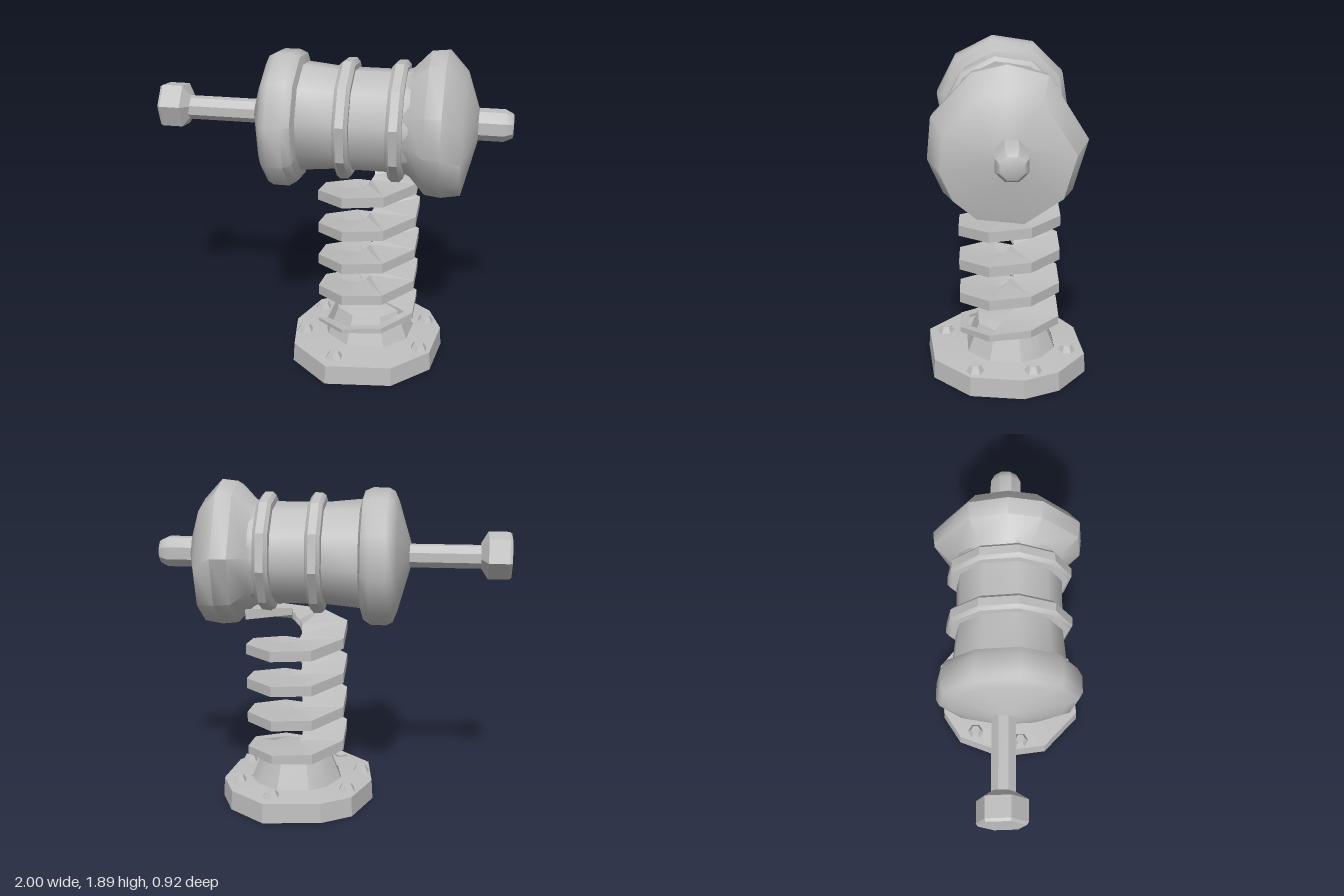
import * as THREE from 'three';
import { toCreasedNormals } from 'three/addons/utils/BufferGeometryUtils.js';

const DEG = Math.PI / 180;
const AXIS_Y = 1.48;
const BASE_X = 0.208;

// Skin a list of rings (each a closed loop of [x, y, z])
function loft(rings, crease = 0.6) {
  const n = rings[0].length;
  const index = [];
  for (let i = 0; i < rings.length - 1; i++) {
    for (let j = 0; j < n; j++) {
      const a = i * n + j, b = i * n + (j + 1) % n;
      index.push(a, a + n, b, b, a + n, b + n);
    }
  }
  const geo = new THREE.BufferGeometry();
  geo.setAttribute('position', new THREE.Float32BufferAttribute(rings.flat(2), 3));
  geo.setIndex(index);
  return toCreasedNormals(geo, crease);
}

// Faceted turning along x from [x, radius, optional drop] entries
function turned(profile, angles, y = AXIS_Y, z = 0, crease = 0.6) {
  return loft(profile.map(([x, r, drop = 0]) => angles.map((a) =>
    [x, y - drop + r * Math.sin(a * DEG), z + r * Math.cos(a * DEG)])), crease);
}

const sides = (n, start = 0) => Array.from({ length: n }, (_, i) => start + i * 360 / n);

export function createModel() {
  const group = new THREE.Group();
  const metal = new THREE.MeshStandardMaterial({ color: 0xbfbfbf, side: THREE.DoubleSide });
  metal.name = 'grey metal';
  const add = (name, geo) => {
    const mesh = new THREE.Mesh(geo, metal);
    mesh.name = name;
    group.add(mesh);
    return mesh;
  };

  // Barrel with rounded left flange
  add('barrel', turned([
    [-0.44, 0], [-0.44, 0.07], [-0.37, 0.31, 0.01], [-0.345, 0.37, 0.015], [-0.31, 0.39, 0.015],
    [-0.22, 0.39, 0.015], [-0.175, 0.365, 0.01], [-0.16, 0.31], [0.04, 0.29], [0.36, 0.29], [0.45, 0.30],
  ], sides(10, 9), AXIS_Y, 0, 0.8));

  // Two raised bands
  for (const x of [0.085, 0.372]) {
    add('band', turned([
      [x - 0.045, 0.28], [x - 0.04, 0.325], [x - 0.02, 0.343], [x + 0.025, 0.343],
      [x + 0.045, 0.32], [x + 0.045, 0.28],
    ], sides(10, 9)));
  }

  // Irregular right cap, its outer edge sagging slightly
  add('rightCap', turned([
    [0.41, 0.29], [0.45, 0.31], [0.54, 0.405], [0.63, 0.415], [0.735, 0.35, 0.05], [0.81, 0.09], [0.81, 0],
  ], [21, 64, 90, 120, 176, 216, 256, 297, 323, 350], AXIS_Y, -0.005, 0.8));

  // Shaft, bolt head and tip
  add('shaft', turned([[-0.88, 0.068], [-0.40, 0.068]], sides(8, 22.5), AXIS_Y, -0.025));
  add('shaftHead', turned([
    [-1, 0], [-1, 0.125], [-0.985, 0.135], [-0.87, 0.135], [-0.83, 0.07],
  ], sides(6, 10), 1.49, -0.03, 0.3));
  add('tip', turned([
    [0.79, 0.09], [0.95, 0.09], [0.995, 0.068], [1, 0.06], [1, 0],
  ], sides(8, 22.5), 1.48, -0.02));

  // Base: hollow plate rising into an open pedestal
  const outline = [[0.655, -0.1], [0.615, 0.2], [0.41, 0.41], [0.03, 0.455], [-0.2, 0.24],
    [-0.24, -0.05], [-0.14, -0.32], [0.03, -0.43], [0.36, -0.465], [0.57, -0.3]];
  const plateRing = (s, y) => outline.map(([x, z]) => [BASE_X + (x - BASE_X) * s, y, z * s]);
  const roundRing = (r, y) => outline.map(([x, z]) => {
    const a = Math.atan2(z, x - BASE_X);
    return [BASE_X + 0.01 + r * Math.cos(a), y, -0.03 + r * Math.sin(a)];
  });
  add('basePlate', loft([plateRing(1, 0.005), plateRing(0.985, 0.12), roundRing(0.27, 0.135)], 0.3));
  add('pedestal', loft([roundRing(0.27, 0.13), roundRing(0.2, 0.3), roundRing(0.001, 0.34)], 0.5));

  // Six small bolts around the plate
  const boltGeo = toCreasedNormals(new THREE.CylinderGeometry(0.03, 0.055, 0.045, 6), 0.3);
  for (const a of [112, 168, 215, 288, 336, 27]) {
    add('bolt', boltGeo).position.set(
      BASE_X + 0.375 * Math.cos(a * DEG), 0.14, 0.375 * Math.sin(a * DEG));
  }

  // Coil spring: a strip reaching almost to the axis, dipping at the back
  const coil = [];
  for (let t = -180; t <= 4 * 360; t += 45) {
    const a = (t + 22.5) * DEG;
    const dip = 0.035 * Math.max(0, Math.sin(a - 30 * DEG));
    const y = 0.31 + 0.205 * (t + 22.5) / 360 - dip;
    const inner = t < 0 ? 0.25 : 0.03;
    const h = 0.03 * Math.min(1, 0.3 + (t + 180) / 400);
    const point = (r, dy) => [0.21 + r * Math.cos(a), y + dy, -0.025 - r * Math.sin(a)];
    coil.push([point(0.305, -h), point(0.305, h), point(inner, h * 0.7), point(inner, -h * 0.7)]);
  }
  const collapse = (ring) => {
    const c = [0, 1, 2].map((k) => ring.reduce((s, p) => s + p[k], 0) / 4);
    return ring.map(() => c);
  };
  add('spring', loft([collapse(coil[0]), ...coil, collapse(coil[coil.length - 1])], 0.3));

  return group;
}
